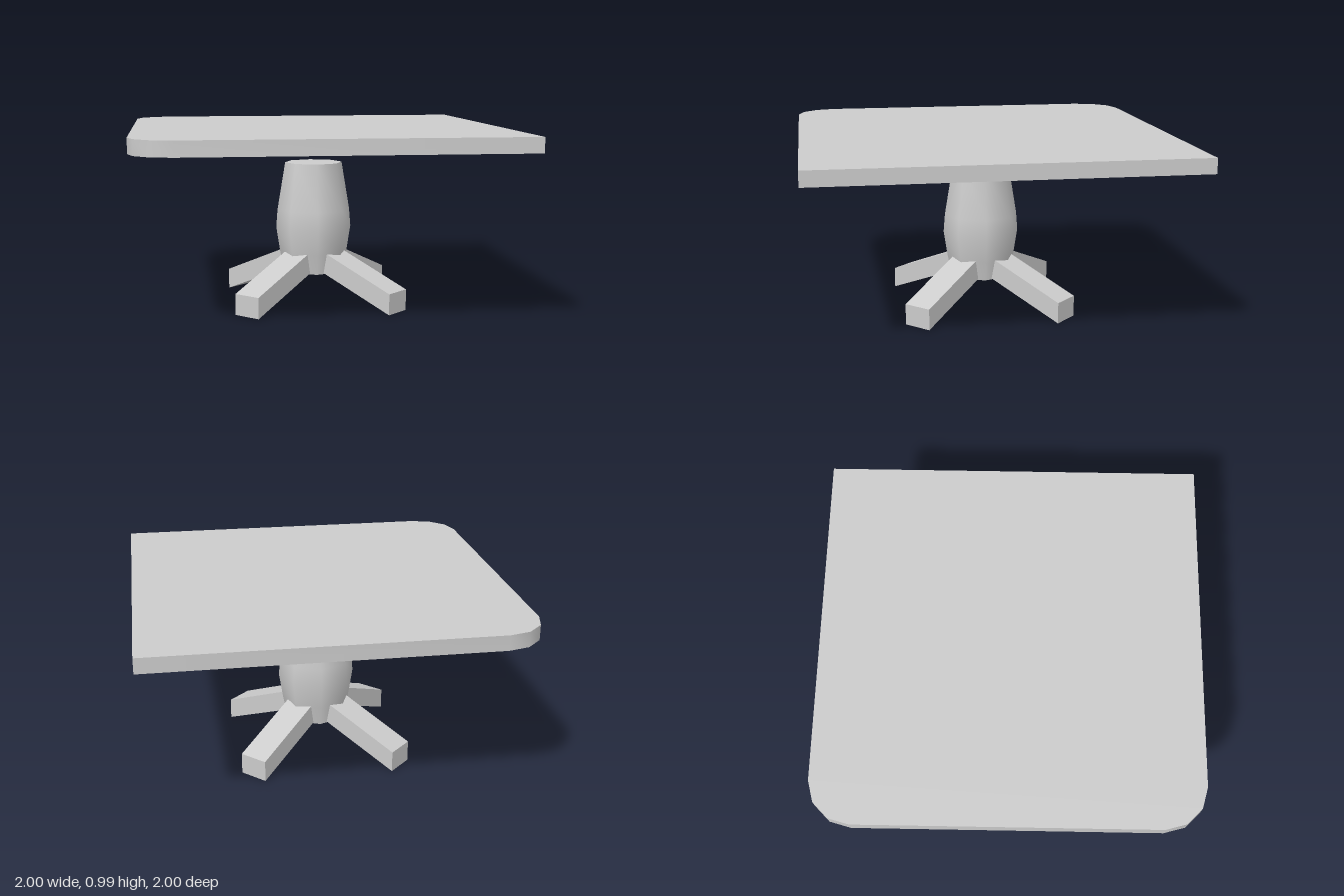
import * as THREE from 'three';
import { toCreasedNormals } from 'three/addons/utils/BufferGeometryUtils.js';

const material = new THREE.MeshStandardMaterial({ color: 0xcccccc });

function addMesh(parent, name, geometry) {
  const mesh = new THREE.Mesh(geometry, material);
  mesh.name = name;
  parent.add(mesh);
  return mesh;
}

const toShape = (points) => new THREE.Shape(points.map(([x, y]) => new THREE.Vector2(x, y)));

export function createModel() {
  const table = new THREE.Group();
  table.name = 'table';

  // Square top with two rounded corners on the -x side
  const topShape = toShape([
    [1, -1], [1, 1],
    [-0.78, 1], [-0.89, 0.97], [-0.97, 0.89], [-1, 0.78],
    [-1, -0.78], [-0.97, -0.89], [-0.89, -0.97], [-0.78, -1],
  ]);
  const topGeometry = new THREE.ExtrudeGeometry(topShape, { depth: 0.08, bevelEnabled: false });
  topGeometry.rotateX(-Math.PI / 2);
  topGeometry.translate(0, 0.91, 0);
  addMesh(table, 'tableTop', toCreasedNormals(topGeometry, 0.7));

  // Eight-sided bulging column, smooth around and sharp at both ends
  const profile = [
    [0, 0.17], [0.167, 0.17], [0.19, 0.28], [0.212, 0.42],
    [0.204, 0.52], [0.16, 0.785], [0, 0.785],
  ].map(([r, y]) => new THREE.Vector2(r, y));
  addMesh(table, 'column', toCreasedNormals(new THREE.LatheGeometry(profile, 8), 0.9));

  // Four sloping legs on the diagonals, with vertical ends
  const legWidth = 0.162;
  const legShape = toShape([[0.1, 0.19], [0.576, 0], [0.576, 0.115], [0.1, 0.308]]);
  const legGeometry = new THREE.ExtrudeGeometry(legShape, { depth: legWidth, bevelEnabled: false });
  legGeometry.translate(0, 0, -legWidth / 2);
  for (let i = 0; i < 4; i++) {
    addMesh(table, 'leg' + (i + 1), legGeometry).rotation.y = Math.PI / 4 + (i * Math.PI) / 2;
  }

  return table;
}
